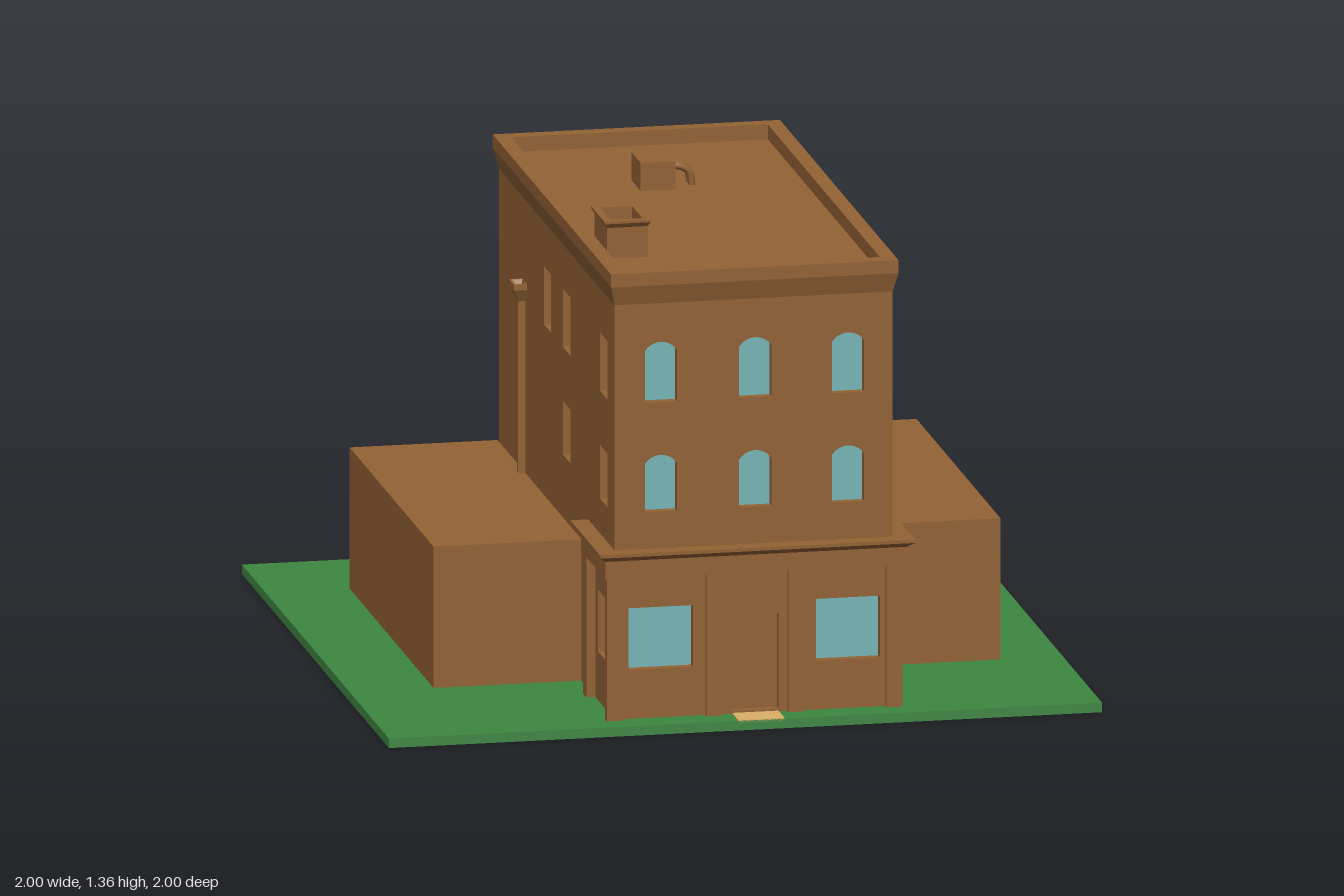
import * as THREE from 'three';

const mat = (color) => new THREE.MeshStandardMaterial({ color });
const BROWN = mat(0x936235), GREEN = mat(0x3e8742), TAN = mat(0xdcb066), GLASS = mat(0x78b4b4);

// Main walls
const X0 = -0.35, X1 = 0.43, Z0 = -0.655, Z1 = 0.915, BASE = 0.027, EAVES = 1.2, T = 0.03;

function add(parent, name, geometry, material = BROWN) {
  const mesh = new THREE.Mesh(geometry, material);
  mesh.name = name;
  parent.add(mesh);
  return mesh;
}

// Box given by its limits on each axis
function block(parent, name, x0, x1, y0, y1, z0, z1, material) {
  const g = new THREE.BoxGeometry(x1 - x0, y1 - y0, z1 - z0);
  g.translate((x0 + x1) / 2, (y0 + y1) / 2, (z0 + z1) / 2);
  return add(parent, name, g, material);
}

// Skin over stacked rectangles [x0, x1, z0, z1, y], capped at both ends
function loft(rings) {
  const pts = rings.map(([x0, x1, z0, z1, y]) =>
    [[x0, y, z1], [x1, y, z1], [x1, y, z0], [x0, y, z0]]);
  const pos = [];
  const quad = (a, b, c, d) => [a, b, c, a, c, d].forEach((p) => pos.push(...p));
  for (let i = 0; i + 1 < pts.length; i++)
    for (let k = 0; k < 4; k++) {
      const n = (k + 1) % 4;
      quad(pts[i][k], pts[i][n], pts[i + 1][n], pts[i + 1][k]);
    }
  quad(...pts[pts.length - 1]);
  quad(...[...pts[0]].reverse());
  const g = new THREE.BufferGeometry();
  g.setAttribute('position', new THREE.Float32BufferAttribute(pos, 3));
  g.computeVertexNormals();
  return g;
}

// Opening outline; rise is the height of the arch above its springing
function outline(Kind, { x, w, y0, y1, rise = 0 }) {
  const s = new Kind(), h = w / 2;
  s.moveTo(x - h, y0);
  s.lineTo(x + h, y0);
  s.lineTo(x + h, y1 - rise);
  if (rise) {
    const r = (h * h + rise * rise) / (2 * rise);
    const a = Math.asin(Math.min(1, h / r));
    s.absarc(x, y1 - r, r, Math.PI / 2 - a, Math.PI / 2 + a, false);
  } else s.lineTo(x - h, y1);
  s.closePath();
  return s;
}

// Wall in the local xy plane facing +z, with recessed panes or doors in its openings
function wall(parent, name, a, b, openings) {
  const group = new THREE.Group();
  group.name = name;
  const shape = new THREE.Shape([[a, BASE], [b, BASE], [b, EAVES], [a, EAVES]]
    .map(([x, y]) => new THREE.Vector2(x, y)));
  for (const o of openings) {
    shape.holes.push(outline(THREE.Path, o));
    const pane = add(group, o.door ? 'door' : 'windowPane',
      new THREE.ShapeGeometry(outline(THREE.Shape, o)), o.door ? BROWN : GLASS);
    pane.position.z = o.door ? -0.02 : -0.026;
  }
  const g = new THREE.ExtrudeGeometry(shape, { depth: T, bevelEnabled: false });
  g.translate(0, 0, -T);
  add(group, name + 'Surface', g);
  parent.add(group);
  return group;
}

export function createModel() {
  const model = new THREE.Group();
  model.name = 'cornerBuilding';

  // Ground and path
  block(model, 'lawn', -1, 1, 0, 0.027, -1, 1, GREEN);
  block(model, 'path', -0.02, 0.11, 0.02, 0.029, -1, 1, TAN);

  // Front wall
  const front = [];
  for (const x of [-0.22, 0.045, 0.305])
    front.push({ x, w: 0.09, y0: 0.61, y1: 0.77, rise: 0.025 },
      { x, w: 0.09, y0: 0.92, y1: 1.09, rise: 0.025 });
  front.push({ x: -0.22, w: 0.18, y0: 0.165, y1: 0.34 },
    { x: 0.305, w: 0.18, y0: 0.165, y1: 0.34 },
    { x: 0.045, w: 0.13, y0: 0.035, y1: 0.305, door: true });
  wall(model, 'frontWall', X0, X1, front).position.z = Z1;

  // Back wall, its local x mirrored
  const back = [{ x: -0.18, w: 0.175, y0: 0.15, y1: 0.435, rise: 0.0874, door: true }];
  for (const x of [-0.31, -0.06, 0.22])
    back.push({ x, w: 0.105, y0: 0.605, y1: 0.77 }, { x, w: 0.105, y0: 0.915, y1: 1.085 });
  const backWall = wall(model, 'backWall', -X1, -X0, back);
  backWall.rotation.y = Math.PI;
  backWall.position.z = Z0;

  // Side walls: s = 1 for +x, -1 for -x
  const sides = [
    { s: 1, x: X1, name: 'leftWall', upper: [0.525, 0.265, 0.005], lower: [0.525, 0.265] },
    { s: -1, x: X0, name: 'rightWall', upper: [0.77, 0.265, 0.005], lower: [0.77, 0.265] },
  ];
  for (const { s, x, name, upper, lower } of sides) {
    const holes = [
      ...upper.map((z) => ({ x: -s * z, w: 0.1, y0: 0.91, y1: 1.075 })),
      ...lower.map((z) => ({ x: -s * z, w: 0.1, y0: 0.605, y1: 0.757 })),
      { x: -s * 0.781, w: 0.184, y0: 0.165, y1: 0.34 },
    ];
    const ends = [-s * (Z0 + T), -s * (Z1 - T)].sort((p, q) => p - q);
    const side = wall(model, name, ends[0], ends[1], holes);
    side.rotation.y = s * Math.PI / 2;
    side.position.x = x;
  }

  // Flared cornice, parapet and sunken roof
  add(model, 'corniceAndRoof', loft([
    [X0, X1, Z0, Z1, EAVES],
    [-0.363, 0.443, -0.68, 0.932, 1.255],
    [-0.363, 0.443, -0.68, 0.932, 1.292],
    [-0.32, 0.4, -0.637, 0.887, 1.292],
    [-0.32, 0.4, -0.637, 0.887, 1.25],
  ]));

  // Side wings
  block(model, 'rightWing', -0.765, X0, BASE, 0.427, -0.675, 0.467);
  block(model, 'leftWing', X1, 0.825, BASE, 0.427, -0.675, 0.467);

  // Shopfront pilasters, frieze and cornice
  for (const [a, b] of [[-0.375, -0.325], [-0.095, -0.05], [0.135, 0.18], [0.41, 0.455]])
    block(model, 'frontPilaster', a, b, BASE, 0.43, 0.907, 0.932);
  for (const [a, b] of [[-0.375, X0], [X1, 0.455]])
    block(model, 'sidePilaster', a, b, BASE, 0.43, 0.61, 0.655);
  add(model, 'shopCornice', loft([
    [-0.38, 0.465, 0.607, 0.936, 0.43],
    [-0.38, 0.465, 0.607, 0.936, 0.48],
    [-0.4, 0.484, 0.558, 0.965, 0.497],
    [-0.4, 0.484, 0.558, 0.965, 0.506],
  ]));

  // Back steps
  const steps = 7, run = 0.225 / steps, rise = 0.115 / steps;
  for (let i = 0; i < steps; i++)
    block(model, 'step', 0.09, 0.27, BASE, 0.15 - i * rise, -0.675 - (i + 1) * run, -0.65 - i * run);

  // Open chimney with a flared rim
  add(model, 'chimney', loft([
    [-0.305, -0.19, 0.428, 0.592, 1.24],
    [-0.305, -0.19, 0.428, 0.592, 1.337],
    [-0.313, -0.184, 0.418, 0.602, 1.35],
    [-0.313, -0.184, 0.418, 0.602, 1.357],
    [-0.292, -0.203, 0.44, 0.58, 1.357],
    [-0.292, -0.203, 0.44, 0.58, 1.28],
  ]));

  // Roof ventilation unit with two bent pipes
  block(model, 'roofUnit', -0.06, 0.038, 1.245, 1.33, -0.262, -0.135);
  for (const z of [-0.21, -0.182]) {
    const curve = new THREE.CatmullRomCurve3([[0.03, 1.307], [0.06, 1.303], [0.085, 1.288], [0.094, 1.245]]
      .map(([x, y]) => new THREE.Vector3(x, y, z)));
    add(model, 'roofPipe', new THREE.TubeGeometry(curve, 10, 0.01, 8));
  }

  // Downpipe with tapered hopper
  block(model, 'downpipe', -0.37, X0, 0.42, 0.93, -0.317, -0.297);
  add(model, 'rainHopper', loft([
    [-0.37, -0.345, -0.322, -0.292, 0.915],
    [-0.387, -0.345, -0.34, -0.274, 0.95],
    [-0.387, -0.345, -0.34, -0.274, 0.967],
    [-0.38, -0.352, -0.333, -0.281, 0.967],
    [-0.375, -0.354, -0.32, -0.294, 0.945],
  ]));

  return model;
}
